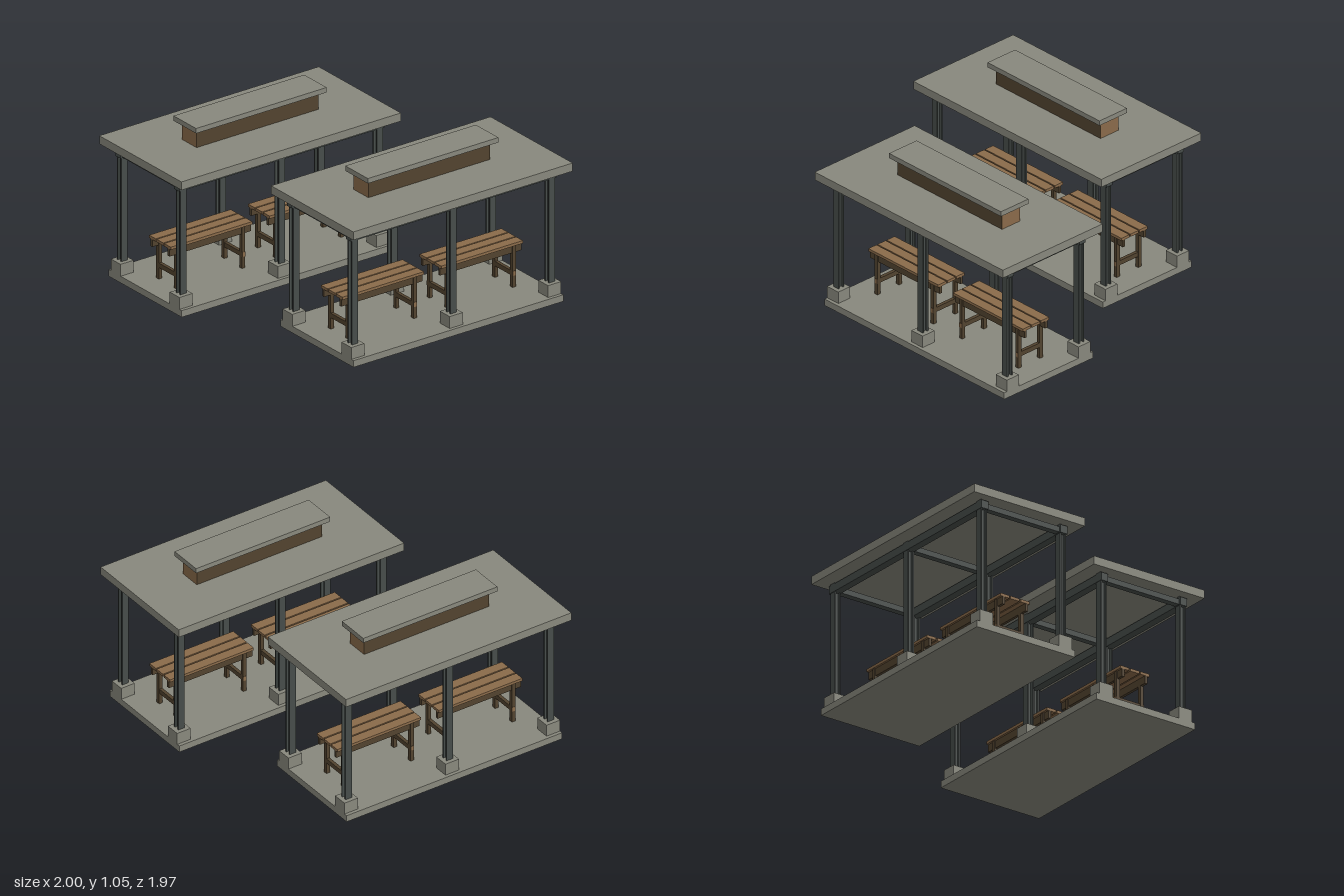
import * as THREE from 'three';

export function createModel() {
  const mat = (name, color) => {
    const m = new THREE.MeshStandardMaterial({ color });
    m.name = name;
    return m;
  };
  const concrete = mat('concrete', 0x88887d);
  const steel = mat('dark steel', 0x474d4a);
  const lightWood = mat('light wood', 0x8a6b4a);
  const darkWood = mat('dark wood', 0x52432f);
  // Face order: +x, -x, +y, -y, +z, -z
  const lightSideEnds = [lightWood, lightWood, darkWood, darkWood, darkWood, darkWood];
  const lightFrontEnds = [darkWood, darkWood, darkWood, darkWood, lightWood, lightWood];

  // Box given by x and z centre, bottom and top heights
  function box(parent, name, material, w, d, y0, y1, x = 0, z = 0) {
    const mesh = new THREE.Mesh(new THREE.BoxGeometry(w, y1 - y0, d), material);
    mesh.name = name;
    mesh.position.set(x, (y0 + y1) / 2, z);
    parent.add(mesh);
    return mesh;
  }

  // H-section steel post, flanges facing front and back
  const a = 0.022, f = 0.013, w = 0.006;
  const section = new THREE.Shape([
    [-a, -a], [a, -a], [a, -f], [w, -f], [w, f], [a, f],
    [a, a], [-a, a], [-a, f], [-w, f], [-w, -f], [-a, -f],
  ].map(([x, y]) => new THREE.Vector2(x, y)));
  const postGeometry = new THREE.ExtrudeGeometry(section, { depth: 0.73, bevelEnabled: false });
  postGeometry.rotateX(-Math.PI / 2);

  function bench(x) {
    const g = new THREE.Group();
    g.name = 'bench';
    g.position.x = x;
    for (const i of [-1, 0, 1])
      box(g, 'seatPlank', lightWood, 0.598, 0.065, 0.312, 0.33, 0, i * 0.0735);
    for (const sz of [-1, 1])
      box(g, 'apron', darkWood, 0.596, 0.018, 0.264, 0.312, 0, sz * 0.084);
    for (const sx of [-1, 1]) {
      for (const sz of [-1, 1])
        box(g, 'benchLeg', darkWood, 0.024, 0.025, 0.043, 0.312, sx * 0.24, sz * 0.087);
      box(g, 'crossbar', lightFrontEnds, 0.022, 0.203, 0.117, 0.147, sx * 0.24);
    }
    return g;
  }

  function shelter() {
    const g = new THREE.Group();
    g.name = 'shelter';
    box(g, 'floorSlab', concrete, 1.54, 0.718, 0, 0.043);

    // Posts, footings and roof frame
    for (const x of [-0.722, 0, 0.722]) {
      for (const z of [-0.289, 0.289]) {
        box(g, 'footing', concrete, 0.096, 0.096, 0.043, 0.12, x, z);
        const post = new THREE.Mesh(postGeometry, steel);
        post.name = 'post';
        post.position.set(x, 0.12, z);
        g.add(post);
      }
      box(g, 'crossBeam', steel, 0.04, 0.6, 0.797, 0.832, x);
    }
    for (const z of [-0.289, 0.289])
      box(g, 'longBeam', steel, 1.508, 0.05, 0.792, 0.842, 0, z);

    // Roof with raised vent and cap
    box(g, 'roof', concrete, 1.61, 0.807, 0.85, 0.903);
    box(g, 'roofVent', lightSideEnds, 0.894, 0.145, 0.903, 1.018);
    box(g, 'ventCap', concrete, 0.958, 0.222, 1.018, 1.05);

    // One bench per bay
    g.add(bench(-0.3625), bench(0.3625));
    return g;
  }

  const model = new THREE.Group();
  model.name = 'picnicShelters';
  for (const s of [1, -1]) {
    const g = shelter();
    g.position.set(s * 0.195, 0, s * 0.582);
    model.add(g);
  }
  return model;
}
